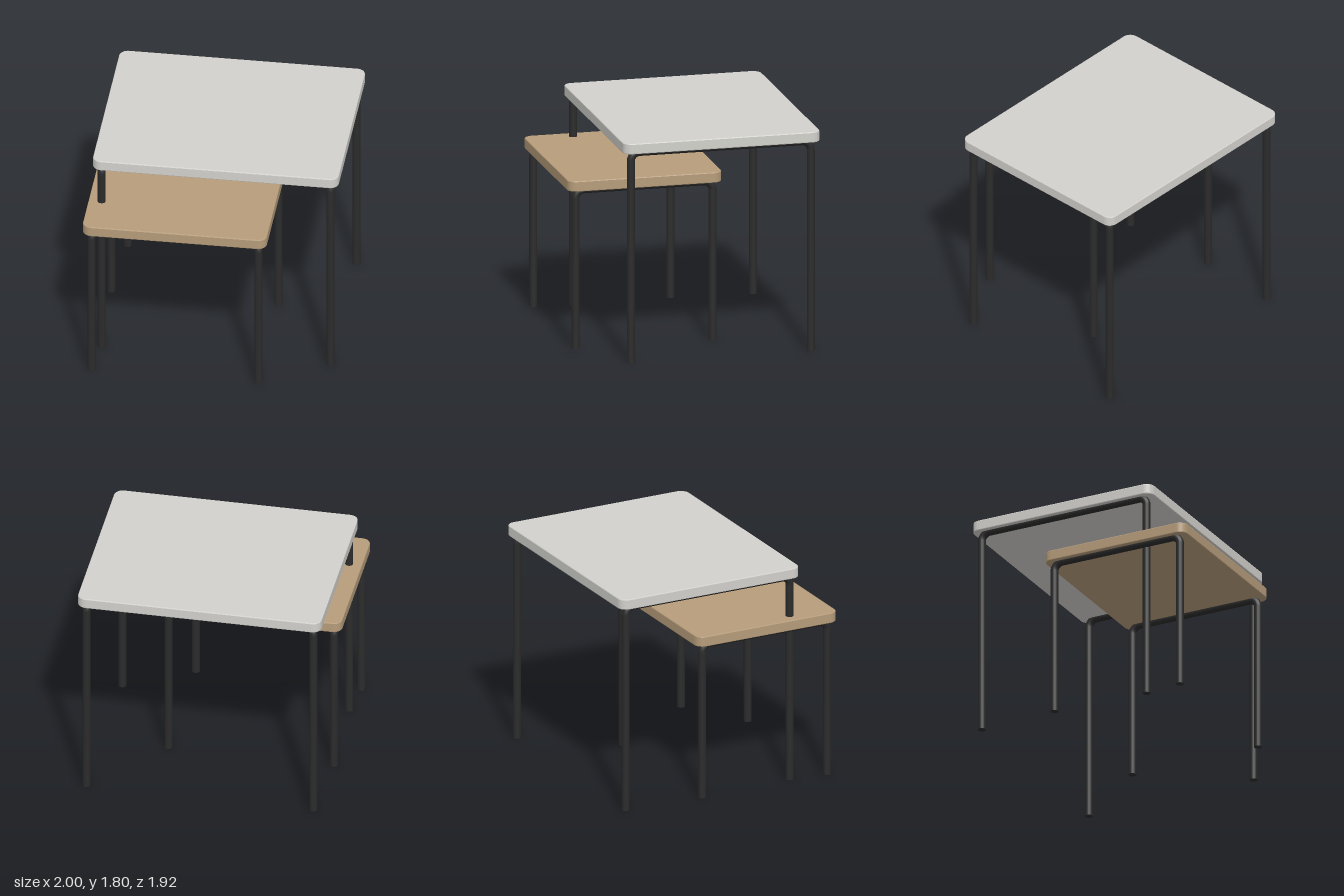
import * as THREE from 'three';

const PIPE = 0.032; // pipe radius
const BEND = 0.07; // centreline radius of the pipe bends
const THICK = 0.086; // tabletop thickness

const steel = new THREE.MeshStandardMaterial({ color: 0x2b2b2b });

// Slab with rounded corners and a fine bevel, resting on y = 0
function tabletop(width, depth, color) {
  const bevel = 0.007, r = 0.065;
  const w = width / 2 - bevel, d = depth / 2 - bevel;
  const s = new THREE.Shape();
  s.absarc(w - r, d - r, r, 0, Math.PI / 2);
  s.absarc(-w + r, d - r, r, Math.PI / 2, Math.PI);
  s.absarc(-w + r, -d + r, r, Math.PI, Math.PI * 1.5);
  s.absarc(w - r, -d + r, r, Math.PI * 1.5, Math.PI * 2);
  const geo = new THREE.ExtrudeGeometry(s, {
    depth: THICK - 2 * bevel, bevelThickness: bevel, bevelSize: bevel, bevelSegments: 2, curveSegments: 8,
  });
  geo.translate(0, 0, bevel).rotateX(-Math.PI / 2);
  const mesh = new THREE.Mesh(geo, new THREE.MeshStandardMaterial({ color }));
  mesh.name = 'tabletop';
  return mesh;
}

// Bent pipe: two legs joined by a rail that runs front to back
function legFrame(half, height) {
  const frame = new THREE.Group();
  frame.name = 'legFrame';
  const add = (name, geo) => {
    const mesh = new THREE.Mesh(geo, steel);
    mesh.name = name;
    frame.add(mesh);
    return mesh;
  };
  const legLength = height - BEND;
  for (const side of [-1, 1]) {
    add('leg', new THREE.CylinderGeometry(PIPE, PIPE, legLength, 16)).position.set(side * half, legLength / 2, 0);
    const bend = add('bend', new THREE.TorusGeometry(BEND, PIPE, 16, 8, Math.PI / 2));
    bend.position.set(side * (half - BEND), legLength, 0);
    if (side < 0) bend.rotation.z = Math.PI / 2;
  }
  const rail = add('rail', new THREE.CylinderGeometry(PIPE, PIPE, 2 * (half - BEND), 16));
  rail.rotation.z = Math.PI / 2;
  rail.position.y = height;
  frame.rotation.y = Math.PI / 2;
  return frame;
}

function table({ name, x, z, width, depth, height, color }) {
  const group = new THREE.Group();
  group.name = name;
  group.position.set(x, 0, z);
  const top = tabletop(width, depth, color);
  top.position.y = height - THICK;
  group.add(top);
  for (const side of [-1, 1]) {
    const frame = legFrame(depth / 2 - 0.069, height - THICK);
    frame.position.x = side * (width / 2 - 0.068);
    group.add(frame);
  }
  return group;
}

export function createModel() {
  const model = new THREE.Group();
  model.name = 'nestingTables';
  model.add(
    table({ name: 'largeTable', x: 0.018, z: -0.158, width: 1.964, depth: 1.608, height: 1.8, color: 0xd2d1cc }),
    table({ name: 'smallTable', x: -0.265, z: 0.333, width: 1.47, depth: 1.258, height: 1.38, color: 0xb69c7a }),
  );
  return model;
}
